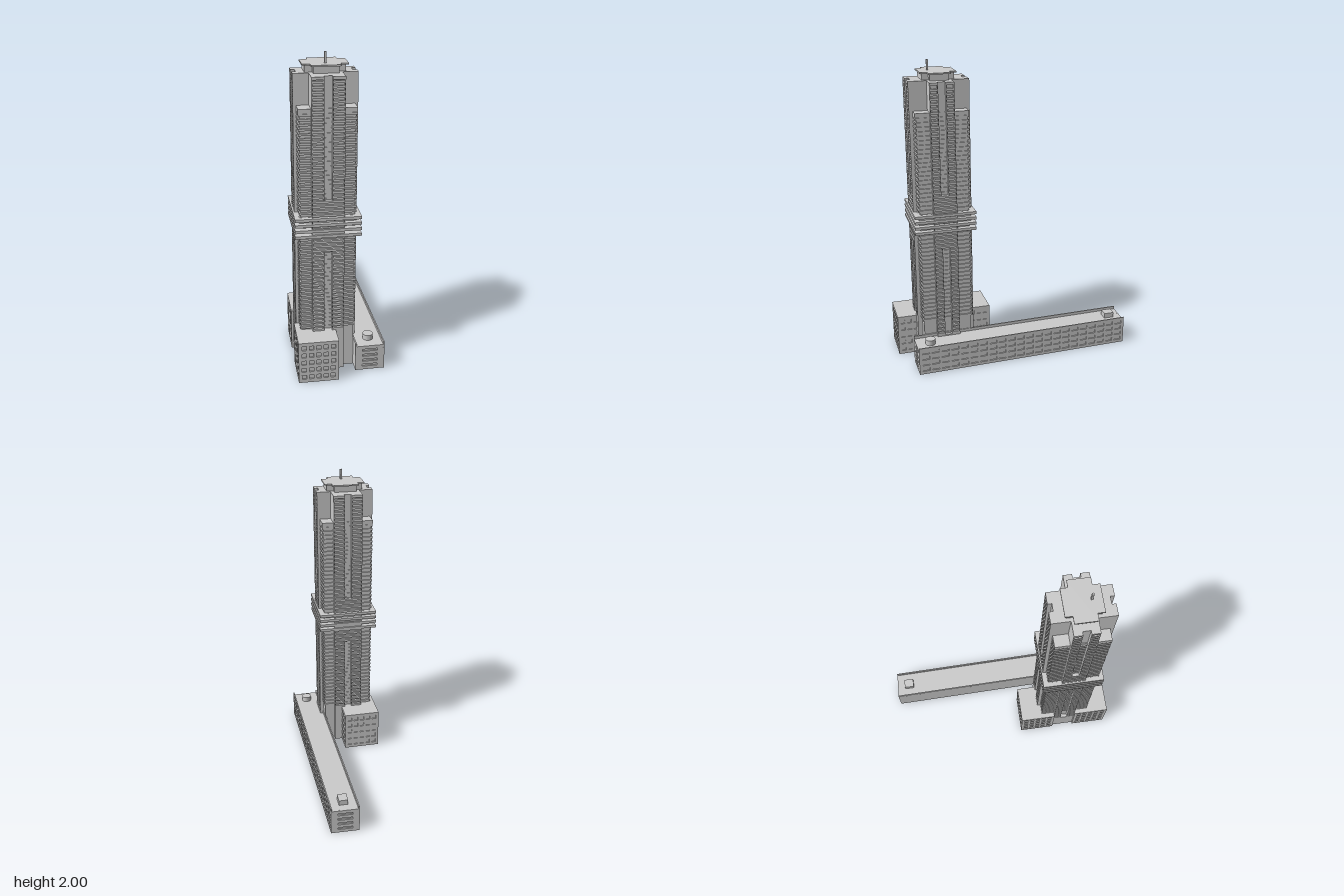
import * as THREE from 'three';
import { mergeGeometries } from 'three/addons/utils/BufferGeometryUtils.js';

const CX = -0.077, CZ = 0.453;      // tower axis
const PITCH = 0.0285;               // storey height
const RELIEF = 0.008;               // depth of window reveals

export function createModel() {
  const model = new THREE.Group();
  const grey = new THREE.MeshStandardMaterial({ color: 0xcccccc, flatShading: true });

  const add = (name, geometry, parent = model) => {
    const mesh = new THREE.Mesh(geometry, grey);
    mesh.name = name;
    parent.add(mesh);
    return mesh;
  };
  // box given by its limits
  const box = (x0, x1, y0, y1, z0, z1) =>
    new THREE.BoxGeometry(x1 - x0, y1 - y0, z1 - z0)
      .translate((x0 + x1) / 2, (y0 + y1) / 2, (z0 + z1) / 2);
  // box centred on the tower axis, given by half sizes
  const towerBox = (hx, hz, y0, y1) => box(CX - hx, CX + hx, y0, y1, CZ - hz, CZ + hz);
  // upright prism over a plan outline of [x, z] points
  const prism = (plan, y0, y1) =>
    new THREE.ExtrudeGeometry(new THREE.Shape(plan.map(([x, z]) => new THREE.Vector2(x, -z))),
      { depth: y1 - y0, bevelEnabled: false }).rotateX(-Math.PI / 2).translate(0, y0, 0);

  // wall pierced by a window grid, running from plan point a to b, outside on its right
  function windowWall([ax, az], [bx, bz], height, cols, rows, fillX = 0.62, fillY = 0.55) {
    const length = Math.hypot(bx - ax, bz - az);
    const rect = (path, x, y, w, h) =>
      path.moveTo(x, y).lineTo(x + w, y).lineTo(x + w, y + h).lineTo(x, y + h).closePath();
    const shape = rect(new THREE.Shape(), 0, 0, length, height);
    const margin = 0.012, cw = (length - 2 * margin) / cols, ch = (height - 2 * margin) / rows;
    for (let i = 0; i < cols; i++) for (let j = 0; j < rows; j++)
      shape.holes.push(rect(new THREE.Path(), margin + cw * (i + (1 - fillX) / 2),
        margin + ch * (j + (1 - fillY) / 2), cw * fillX, ch * fillY));
    return new THREE.ExtrudeGeometry(shape, { depth: RELIEF, bevelEnabled: false })
      .translate(0, 0, -RELIEF)
      .rotateY(Math.atan2(az - bz, bx - ax)).translate(ax, 0, az);
  }

  // ---- Tower core and stepped corners ----
  const tower = new THREE.Group();
  tower.name = 'tower';
  model.add(tower);
  add('towerCore', mergeGeometries([
    towerBox(0.0975, 0.167, 0, 1.885),
    towerBox(0.166, 0.0775, 0, 1.885),
  ]), tower);
  add('cornerBlocks', towerBox(0.164, 0.161, 0, 1.70), tower);
  const cornerSlabs = [towerBox(0.172, 0.17, 1.672, 1.70)];
  for (let y = 0.29; y < 1.66; y += PITCH) cornerSlabs.push(towerBox(0.172, 0.17, y, y + 0.013));
  add('cornerFloorSlabs', mergeGeometries(cornerSlabs), tower);

  // ---- Balcony bays on the four arms, each with a central slot ----
  function balconyBay(width, dist, base) {
    const w = width / 2, slot = 0.024, back = dist - 0.027, rear = dist - 0.015, parts = [];
    for (const s of [-1, 1]) {
      const span = (a, b, y0, y1, z0, z1) =>
        parts.push(box(Math.min(s * a, s * b), Math.max(s * a, s * b), y0, y1, z0, z1));
      span(slot, w, 0, 1.885, back, rear);
      span(w - 0.006, w, 0, 1.885, back, dist);
      for (const [y0, y1] of [[base, 0.81], [1.15, 1.885]]) span(slot, slot + 0.006, y0, y1, back, dist);
      span(slot, w, 1.868, 1.885, back, dist);
      for (let y = base; y < 1.86; y += PITCH) {
        const full = y > 0.80 && y < 1.15;
        span(full ? 0 : slot, w, y, y + 0.014, back, dist);
      }
    }
    parts.push(box(-w, w, 0, base, back, dist), box(-slot, slot, 0.81, 1.15, back, rear));
    return mergeGeometries(parts);
  }
  [['frontBalconies', 0.195, 0.193, 0.28], ['leftBalconies', 0.155, 0.19, 0.18],
    ['backBalconies', 0.195, 0.193, 0.28], ['rightBalconies', 0.155, 0.19, 0.18]]
    .forEach(([name, width, dist, base], i) => {
      const bay = add(name, balconyBay(width, dist, base), tower);
      bay.position.set(CX, 0, CZ);
      bay.rotation.y = i * Math.PI / 2;
    });

  // ---- Projecting plates around the middle ----
  for (let i = 0; i < 4; i++) {
    const y = 0.917 + i * 0.036;
    add('beltPlate', towerBox(0.2, 0.201, y, y + 0.018), tower);
  }

  // ---- Crown and mast ----
  const cross = (hx1, hz1, hx2, hz2, y0, y1) =>
    mergeGeometries([towerBox(hx1, hz1, y0, y1), towerBox(hx2, hz2, y0, y1)]);
  add('crownBody', cross(0.12, 0.06, 0.075, 0.103, 1.885, 1.927), tower);
  add('crownRoof', cross(0.135, 0.07, 0.088, 0.115, 1.925, 1.934), tower);
  add('mast', box(-0.081, -0.069, 1.93, 2.0, 0.499, 0.511), tower);

  // ---- Two podium blocks ----
  for (const [name, z0, z1] of [['frontPodium', 0.53, 0.775], ['backPodium', 0.13, 0.375]]) {
    const block = new THREE.Group();
    block.name = name;
    model.add(block);
    const x0 = -0.28, x1 = -0.03, h = 0.28, r = RELIEF;
    add('podiumCore', box(x0 + r, x1 - r, 0, h, z0 + r, z1 - r), block);
    const plan = [[x0, z1], [x1, z1], [x1, z0], [x0, z0]];
    add('podiumWindowWalls', mergeGeometries(
      plan.map((p, i) => windowWall(p, plan[(i + 1) % 4], h, 5, 5))), block);
  }

  // ---- Long low wing, slightly skewed in plan ----
  const wing = new THREE.Group();
  wing.name = 'wing';
  model.add(wing);
  const fl = [0.09, 0.69], fr = [0.276, 0.688], br = [0.247, -0.775], bl = [0.062, -0.78];
  const inset = ([x, z], dx, dz) => [x + dx, z + dz];
  const r = RELIEF;
  add('wingCore', prism([inset(fl, 0, -r), inset(fr, -r, -r), inset(br, -r, r), inset(bl, 0, r)], 0, 0.17), wing);
  add('wingWindowWall', windowWall(fr, br, 0.19, 22, 4, 0.75, 0.55), wing);
  add('wingFrontWall', windowWall(fl, fr, 0.17, 1, 4, 0.6, 0.4), wing);
  add('wingBackWall', windowWall(br, bl, 0.17, 1, 4, 0.6, 0.4), wing);
  add('wingPlainWall', prism([fl, inset(fl, r, 0), inset(bl, r, 0), bl], 0, 0.19), wing);
  add('roofTank', new THREE.CylinderGeometry(0.033, 0.033, 0.035, 24).translate(0.185, 0.1875, 0.595), wing);
  add('roofHut', box(0.125, 0.185, 0.17, 0.205, -0.722, -0.655), wing);

  return model;
}
